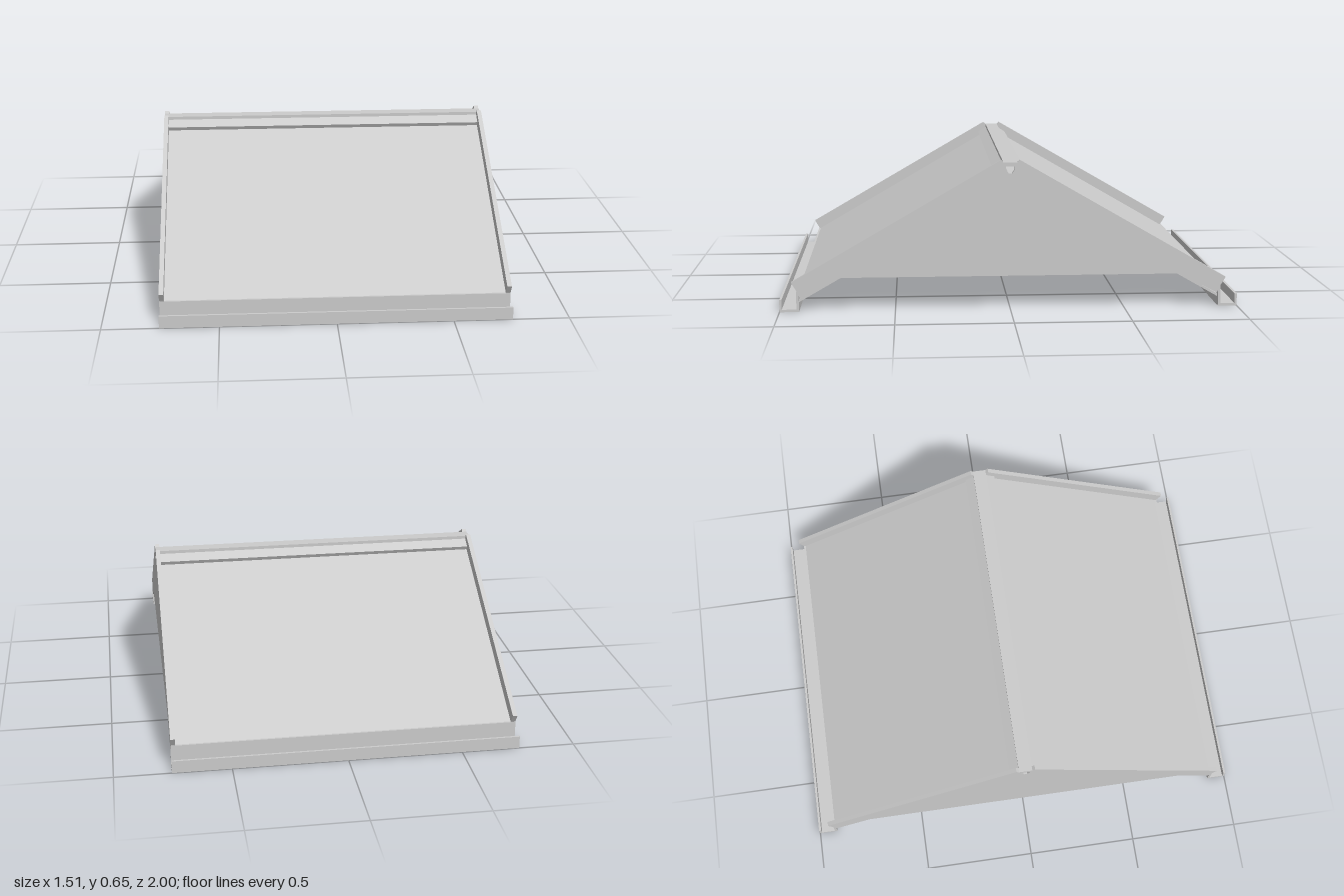
import * as THREE from 'three';

const HALF = 0.755; // half length of the gutters and side plates
const INNER = 0.735; // half length between the side plates

// Extrude a (z, y) outline along x, from x0 to x1
function extrudeX(outline, x0, x1, hole) {
  const toShape = (pts) => pts.map(([z, y]) => new THREE.Vector2(-z, y));
  const shape = new THREE.Shape(toShape(outline));
  if (hole) shape.holes.push(new THREE.Path(toShape(hole)));
  const geo = new THREE.ExtrudeGeometry(shape, { depth: x1 - x0, bevelEnabled: false });
  geo.translate(0, 0, x0);
  geo.rotateY(Math.PI / 2);
  return geo;
}

// Complete a half outline with its mirror image across z = 0
const mirrored = (half) => [...half, ...half.slice().reverse().map(([z, y]) => [-z, y])];

export function createModel() {
  const group = new THREE.Group();
  const steel = new THREE.MeshStandardMaterial({ color: 0xcccccc });
  steel.name = 'grey sheet metal';
  const add = (name, geo) => {
    const mesh = new THREE.Mesh(geo, steel);
    mesh.name = name;
    group.add(mesh);
  };

  // Upper roof sheet: flat ridge, raised ridge cap, step, sloping panels
  const top = [[0.918, 0.09], [0.062, 0.588], [0.071, 0.605], [0.03, 0.631], [0.03, 0.645]];
  const under = [[0.02, 0.635], [0.02, 0.624], [0.055, 0.601], [0.047, 0.585], [0.918, 0.078]];
  const roof = [
    ...mirrored(top),
    ...under.slice().reverse().map(([z, y]) => [-z, y]), ...under,
  ];
  add('roofSheet', extrudeX(roof, -INNER, INNER));

  // Lower lining sheet: a plain fold below the roof sheet, leaving a hollow between
  const lining = [
    [0.918, 0.05], [0, 0.579], [-0.918, 0.05], [-0.918, 0.038], [0, 0.567], [0.918, 0.038],
  ];
  add('liningSheet', extrudeX(lining, -INNER, INNER));

  // Side plates with raised rims, a cut lower edge and a hanging hole near the ridge
  const plate = mirrored([
    [0.745, 0.148], [0.91, 0.06], [0.927, 0.095], [0.948, 0.13],
    [0.042, 0.655], [0.03, 0.645],
  ]);
  const hole = [
    [-0.02, 0.628], [0.02, 0.628], [0.019, 0.615], [0.008, 0.597], [-0.008, 0.597], [-0.019, 0.615],
  ];
  // Inward flange along the level bottom edge of each plate
  const flange = mirrored([[0.72, 0.147], [0.705, 0.157]]);
  for (const [side, s] of [['left', 1], ['right', -1]]) {
    const span = (a, b) => (s > 0 ? [a, b] : [-b, -a]);
    add(side + 'SidePlate', extrudeX(plate, ...span(INNER, HALF), hole));
    add(side + 'BottomFlange', extrudeX(flange, ...span(0.7, INNER)));
  }

  // U-shaped gutters along both eaves
  const gutter = [
    [0.916, 0.09], [0.916, 0], [1, 0], [1, 0.055], [0.99, 0.055], [0.99, 0.011],
    [0.927, 0.011], [0.927, 0.09],
  ];
  add('frontGutter', extrudeX(gutter, -HALF, HALF));
  add('backGutter', extrudeX(gutter.map(([z, y]) => [-z, y]), -HALF, HALF));
  return group;
}
